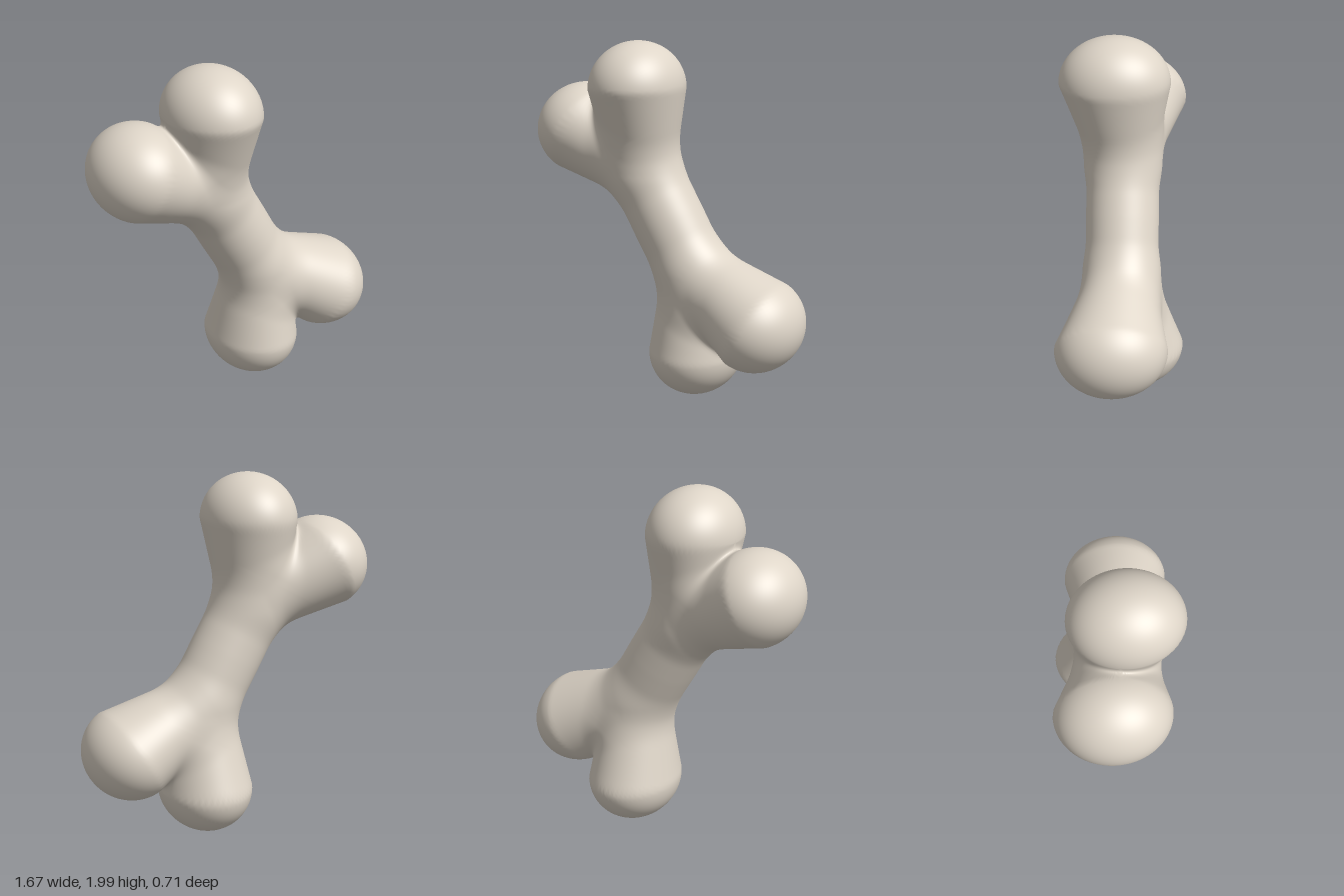
import * as THREE from 'three';
import { mergeVertices } from 'three/addons/utils/BufferGeometryUtils.js';

const V = (x, y, z) => new THREE.Vector3(x, y, z);
const TILT = Math.PI / 6;                       // lean of the shaft
const axis = V(-Math.sin(TILT), Math.cos(TILT), 0);
const HALF = 0.46;                              // half distance between the two forks

// Blend of two distances with rounding k
function smoothMin(a, b, k) {
  const h = Math.max(k - Math.abs(a - b), 0) / k;
  return Math.min(a, b) - h * h * k / 4;
}

// Distance to a tapering limb from a (radius ra) to b (radius rb), widening in z towards b
function limb(p, a, b, ra, rb, zScale) {
  const bx = b.x - a.x, by = b.y - a.y;
  const t = ((p.x - a.x) * bx + (p.y - a.y) * by) / (bx * bx + by * by);
  const h = THREE.MathUtils.clamp(t, 0, 1);
  const dz = (p.z - a.z - (b.z - a.z) * h) / (1 + (zScale - 1) * h);
  return Math.hypot(p.x - a.x - bx * h, p.y - a.y - by * h, dz) - (ra + (rb - ra) * h);
}

// Each end is described relative to the middle; the lower end is turned by point reflection
const shaftEnd = axis.clone().multiplyScalar(0.5);
const fork = V(-0.17, 0.28, 0);
const upperKnobs = [V(-0.172, 0.74, 0.047), V(-0.573, 0.475, -0.047)];
const lowerKnobs = [V(-0.157, 0.737, 0.047), V(-0.573, 0.498, -0.047)];

function boneDistance(point) {
  const lower = point.dot(axis) < 0;
  const p = lower ? point.clone().negate() : point;
  const [end, side] = lower ? lowerKnobs : upperKnobs;
  const shaft = limb(p, V(0, 0, 0), shaftEnd, 0.204, 0.2, 1);
  const knobs = smoothMin(
    limb(p, fork, end, 0.185, 0.259, 1.18),
    limb(p, fork, side, 0.185, 0.263, 1.17), 0.04);
  return smoothMin(shaft, knobs, 0.09);
}

// Push each capsule vertex out along its normal until it meets the bone surface
function boneGeometry() {
  let geo = new THREE.CapsuleGeometry(0.1, HALF * 2, 56, 128, 40);
  geo.deleteAttribute('uv');
  geo.deleteAttribute('normal');
  geo = mergeVertices(geo, 1e-5);
  const pos = geo.attributes.position;
  const p = V(0, 0, 0), origin = V(0, 0, 0), dir = V(0, 0, 0);
  for (let i = 0; i < pos.count; i++) {
    p.fromBufferAttribute(pos, i);
    origin.set(0, THREE.MathUtils.clamp(p.y, -HALF, HALF), 0);
    dir.subVectors(p, origin).normalize().applyAxisAngle(V(0, 0, 1), TILT);
    origin.applyAxisAngle(V(0, 0, 1), TILT);
    const at = (t) => p.copy(origin).addScaledVector(dir, t);
    let hi = 0.05;
    while (hi < 1 && boneDistance(at(hi)) < 0) hi += 0.02;
    let lo = hi - 0.02;
    for (let n = 0; n < 14; n++) {
      const mid = (lo + hi) / 2;
      if (boneDistance(at(mid)) < 0) lo = mid; else hi = mid;
    }
    at(hi);
    pos.setXYZ(i, p.x, p.y + 1, p.z);
  }
  geo.computeVertexNormals();
  return geo;
}

export function createModel() {
  const group = new THREE.Group();
  group.name = 'bone';
  const material = new THREE.MeshStandardMaterial({ color: 0xded5c8 });
  const bone = new THREE.Mesh(boneGeometry(), material);
  bone.name = 'boneBody';
  group.add(bone);
  return group;
}
